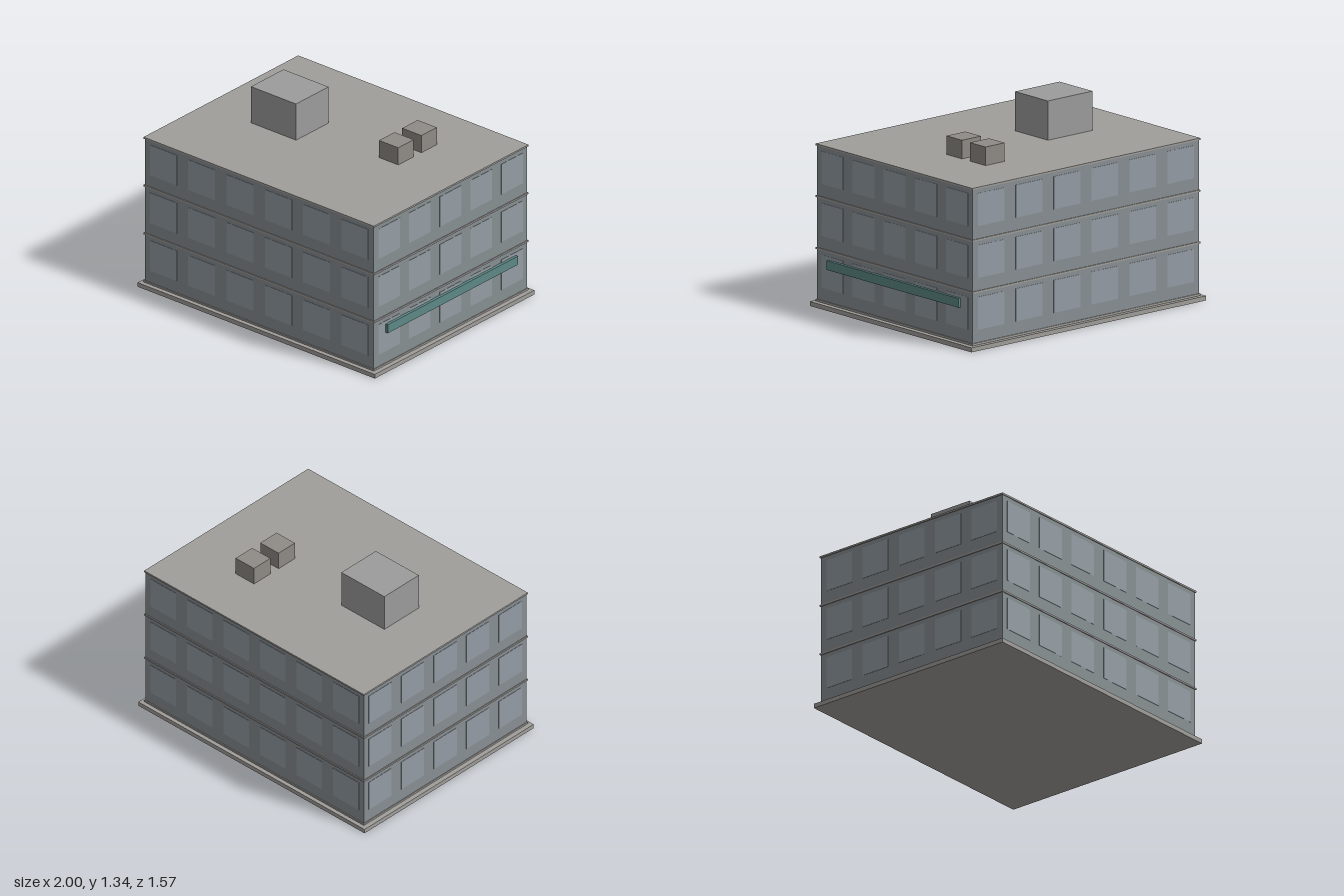
import * as THREE from 'three';

const mat = (color) => new THREE.MeshStandardMaterial({ color });
const concrete = mat(0xa09e9a);
const wall = mat(0x878f92);
const glass = mat(0x949ca4);
const plantGrey = mat(0x9c9c9c);
const ventGrey = mat(0x8f8b85);
const teal = mat(0x5c8886);

// Box given by its lower and upper limits on each axis
function box(name, material, [x0, x1], [y0, y1], [z0, z1]) {
  const mesh = new THREE.Mesh(new THREE.BoxGeometry(x1 - x0, y1 - y0, z1 - z0), material);
  mesh.position.set((x0 + x1) / 2, (y0 + y1) / 2, (z0 + z1) / 2);
  mesh.name = name;
  return mesh;
}

export function createModel() {
  const model = new THREE.Group();
  model.name = 'officeBuilding';
  const halfX = 0.965, halfZ = 0.755, storey = 0.343, ground = 0.04;

  // Plinth and main block
  model.add(box('plinth', concrete, [-1, 1], [0, 0.03], [-0.785, 0.785]));
  model.add(box('walls', wall, [-halfX, halfX], [0.03, 1.068], [-halfZ, halfZ]));

  // Thin floor bands, the last one being the roof slab
  for (let i = 0; i < 4; i++) {
    const y = ground - 0.006 + i * storey;
    model.add(box(i < 3 ? 'floorBand' : 'roofSlab', concrete,
      [-0.971, 0.971], [y, y + 0.012], [-0.761, 0.761]));
  }

  // Window panes, mirrored on opposite walls
  const windows = new THREE.Group();
  windows.name = 'windows';
  const proud = 0.002;
  for (let floor = 0; floor < 3; floor++) {
    const y = [0.13 + floor * storey, 0.347 + floor * storey];
    for (const side of [-1, 1]) {
      for (let i = 0; i < 6; i++) {
        const x = (i - 2.5) * 0.323, z = side * halfZ;
        windows.add(box('longWallWindow', glass, [x - 0.113, x + 0.113], y, [z - proud, z + proud]));
      }
      for (let i = 0; i < 5; i++) {
        const z = (i - 2) * 0.302, x = side * halfX;
        windows.add(box('endWallWindow', glass, [x - proud, x + proud], y, [z - 0.106, z + 0.106]));
      }
    }
  }
  model.add(windows);

  // Long strip on the left end wall
  model.add(box('wallStrip', teal, [0.965, 0.986], [0.265, 0.326], [-0.64, 0.64]));

  // Rooftop plant room and two vents
  model.add(box('plantRoom', plantGrey, [-0.58, -0.2], [1.07, 1.335], [-0.16, 0.16]));
  for (const z of [-0.38, -0.152]) {
    model.add(box('roofVent', ventGrey, [0.363, 0.525], [1.07, 1.198], [z, z + 0.152]));
  }
  return model;
}
